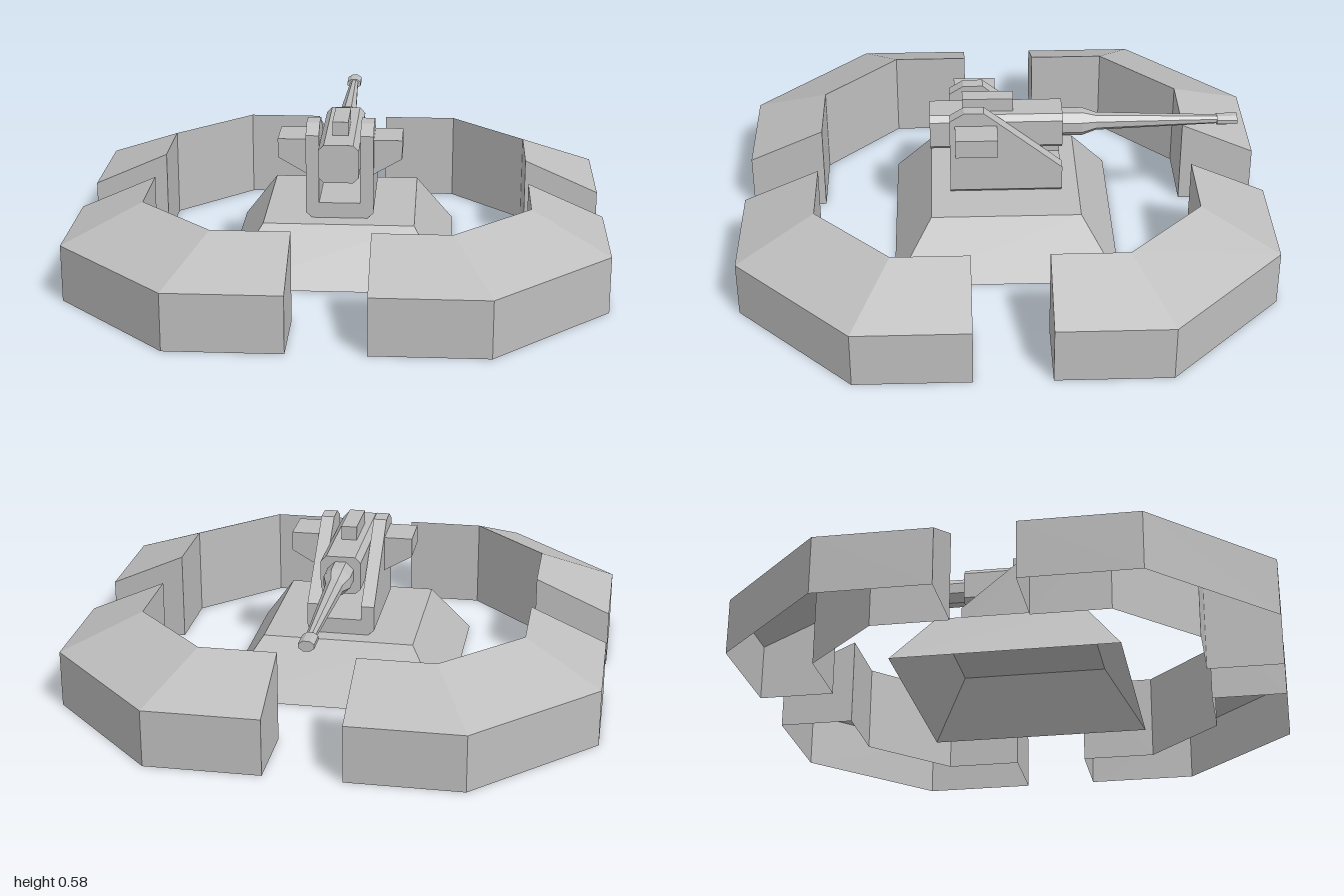
import * as THREE from 'three';

const grey = new THREE.MeshStandardMaterial({ color: 0xbebebe, side: THREE.DoubleSide });
grey.name = 'plain grey';

function part(name, geometry, parent) {
  let g = geometry;
  if (g.index) g = g.toNonIndexed();
  g.computeVertexNormals(); // faceted normals
  const mesh = new THREE.Mesh(g, grey);
  mesh.name = name;
  parent.add(mesh);
  return mesh;
}

// Geometry from a list of four-cornered faces
function fromQuads(quads) {
  const pos = [];
  for (const [a, b, c, d] of quads) pos.push(...a, ...b, ...c, ...a, ...c, ...d);
  const g = new THREE.BufferGeometry();
  g.setAttribute('position', new THREE.Float32BufferAttribute(pos, 3));
  return g;
}

function extrude(points, depth) {
  const shape = new THREE.Shape(points.map(([x, y]) => new THREE.Vector2(x, y)));
  return new THREE.ExtrudeGeometry(shape, { depth, bevelEnabled: false });
}

// One corner of the ring wall, hollow underneath
function wallGeometry() {
  const outer = [[1, 0.142], [1, 0.57], [0.57, 1], [0.142, 1]];
  const inner = [[0.714, 0.142], [0.714, 0.43], [0.43, 0.714], [0.142, 0.714]];
  const o = (i, y) => [outer[i][0], y, outer[i][1]];
  const n = (i, y) => [inner[i][0], y, inner[i][1]];
  const lo = 0.215, hi = 0.342;
  const quads = [
    [o(0, 0), n(0, 0), n(0, hi), o(0, lo)],
    [o(3, 0), o(3, lo), n(3, hi), n(3, 0)],
  ];
  for (let i = 0; i < 3; i++) {
    quads.push([o(i, 0), o(i, lo), o(i + 1, lo), o(i + 1, 0)]);
    quads.push([o(i, lo), n(i, hi), n(i + 1, hi), o(i + 1, lo)]);
    quads.push([n(i, hi), n(i, 0), n(i + 1, 0), n(i + 1, hi)]);
  }
  return fromQuads(quads);
}

// Square sloped plinth, open underneath
function plinthGeometry() {
  const corners = [[1, 1], [1, -1], [-1, -1], [-1, 1]];
  const at = (i, r, y) => [corners[i % 4][0] * r, y, corners[i % 4][1] * r];
  const b = 0.428, t = 0.285, h = 0.215;
  const quads = [[at(0, t, h), at(1, t, h), at(2, t, h), at(3, t, h)]];
  for (let i = 0; i < 4; i++) quads.push([at(i, b, 0), at(i + 1, b, 0), at(i + 1, t, h), at(i, t, h)]);
  return fromQuads(quads);
}

// Eight-sided turned form pointing to -z; profile holds [radius, distance]
function turned(profile) {
  const k = 1 / Math.cos(Math.PI / 8);
  const g = new THREE.LatheGeometry(profile.map(([r, d]) => new THREE.Vector2(r * k, d)), 8);
  return g.rotateY(Math.PI / 8).rotateX(-Math.PI / 2);
}

export function createModel() {
  const model = new THREE.Group();
  model.name = 'gunEmplacement';

  // Ring wall in four corners
  const wall = wallGeometry();
  for (let i = 0; i < 4; i++) part('ringWall' + (i + 1), wall.clone().rotateY(i * Math.PI / 2), model);

  part('plinth', plinthGeometry(), model);

  // Cradle: chamfered floor and two sloping side plates
  const gun = new THREE.Group();
  gun.name = 'gun';
  model.add(gun);
  const floor = [[-0.128, 0.235], [-0.105, 0.215], [0.105, 0.215], [0.128, 0.235], [0.128, 0.275], [-0.128, 0.275]];
  part('cradleFloor', extrude(floor, 0.43).translate(0, 0, -0.22), gun);

  const plate = [[0.21, 0.235], [0.21, 0.54], [0.155, 0.575], [0.08, 0.575], [-0.22, 0.33], [-0.22, 0.235]];
  const pod = [[0.128, 0.385], [0.235, 0.447], [0.235, 0.52], [0.128, 0.52]];
  for (const side of [1, -1]) {
    const label = side > 0 ? 'left' : 'right';
    // profile is drawn as (z, y), then turned to run across x
    const p = extrude(plate.map(([z, y]) => [-z, y]), 0.05).rotateY(Math.PI / 2);
    part(label + 'SidePlate', p.translate(side > 0 ? 0.078 : -0.128, 0, 0), gun);
    const podPoints = pod.map(([x, y]) => [x * side, y]);
    part(label + 'SidePod', extrude(podPoints, 0.16).translate(0, 0, 0.03), gun);
  }

  // Breech housing with chamfered upper and lower edges
  const breech = [
    [-0.055, 0.38], [0.055, 0.38], [0.076, 0.4], [0.076, 0.505],
    [0.055, 0.527], [-0.055, 0.527], [-0.076, 0.505], [-0.076, 0.4],
  ];
  part('breech', extrude(breech, 0.507).translate(0, 0, -0.222), gun);
  part('sightBox', new THREE.BoxGeometry(0.06, 0.06, 0.195).translate(0, 0.55, 0.063), gun);

  // Barrel and muzzle
  const axis = 0.457;
  part('barrel', turned([[0.05, 0.2], [0.05, 0.3], [0.032, 0.355], [0.016, 0.83]]).translate(0, axis, 0), gun);
  const muzzle = [[0.0001, 0.822], [0.028, 0.822], [0.028, 0.9], [0.0001, 0.9]];
  part('muzzle', turned(muzzle).scale(1, 0.68, 1).translate(0, axis, 0), gun);

  return model;
}
